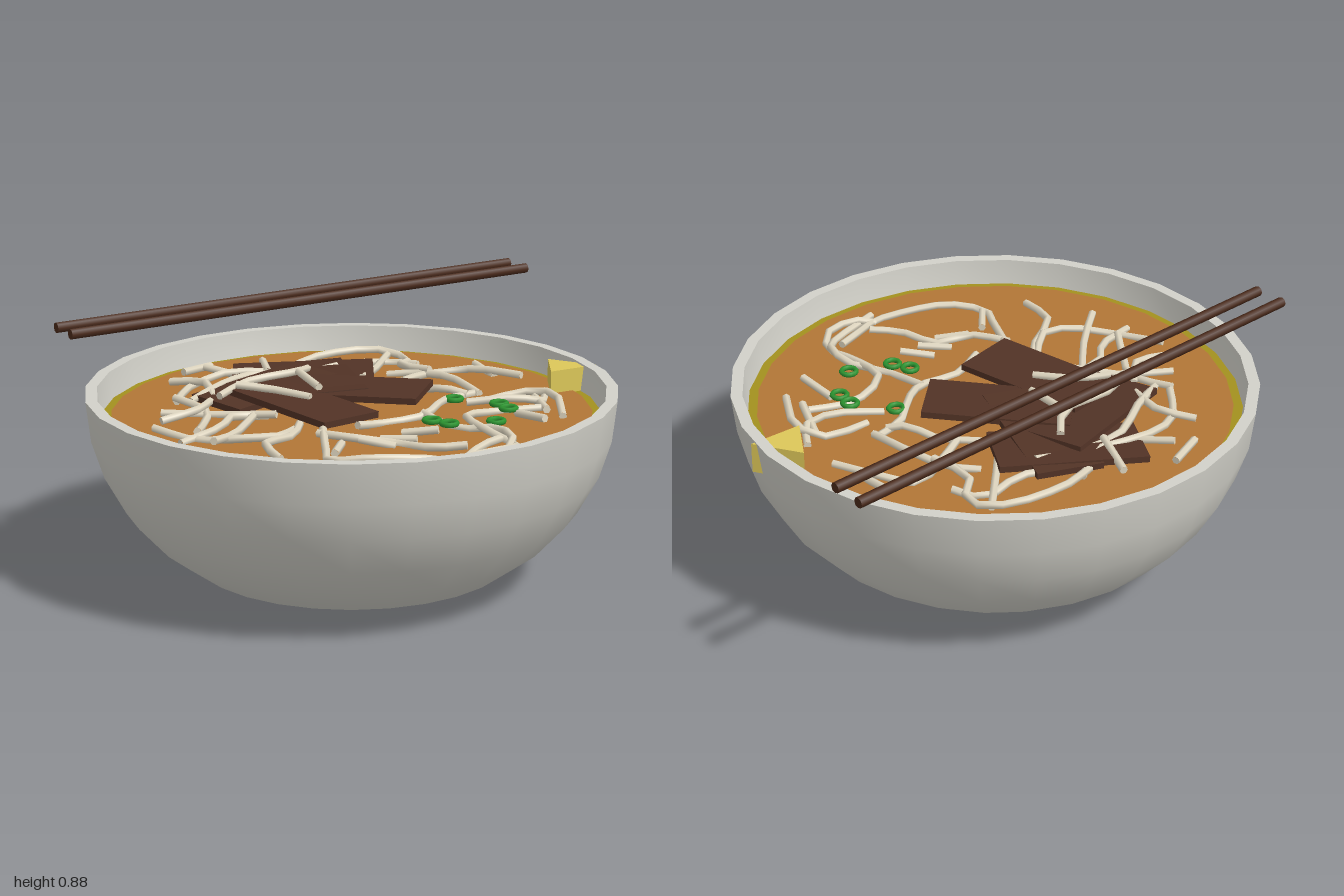
import * as THREE from 'three';

const mat = (name, color, side = THREE.FrontSide) => {
  const m = new THREE.MeshStandardMaterial({ color, side });
  m.name = name;
  return m;
};

export function createModel() {
  const M = {
    ceramic: mat('ceramic', 0xd2d1c9),
    broth: mat('broth', 0xb27636),
    oil: mat('oil', 0xa3911f),
    noodle: mat('noodle', 0xdfd6c0),
    meat: mat('meat', 0x523326),
    wood: mat('darkWood', 0x4a2a1b),
    lemon: mat('lemon', 0xdcc759),
    green: mat('scallionGreen', 0x2c9430),
  };
  const model = new THREE.Group();
  model.name = 'noodleSoup';
  const group = (name) => {
    const g = new THREE.Group();
    g.name = name;
    model.add(g);
    return g;
  };
  const add = (parent, name, geo, material, x = 0, y = 0, z = 0) => {
    const m = new THREE.Mesh(geo, material);
    m.name = name;
    m.position.set(x, y, z);
    parent.add(m);
    return m;
  };

  // Bowl, outer and inner walls with a flat rim between them
  const CX = -0.1, SEG = 28, TOP = 0.663;
  const outer = [[0, 0], [0.315, 0], [0.42, 0.016], [0.55, 0.064], [0.674, 0.155],
    [0.775, 0.267], [0.845, 0.396], [0.885, 0.524], [0.9, TOP]];
  const inner = [[0.86, TOP], [0.845, 0.54], [0.8, 0.4], [0.72, 0.27], [0.6, 0.15], [0.4, 0.06], [0, 0.04]];
  const lathe = (pts) => new THREE.LatheGeometry(pts.map((p) => new THREE.Vector2(...p)), SEG);
  const bowl = group('bowl');
  add(bowl, 'bowlOutside', lathe(outer), M.ceramic, CX);
  add(bowl, 'bowlInside', lathe(inner), M.ceramic, CX);
  add(bowl, 'bowlRim', lathe([[0.9, TOP], [0.86, TOP]]), M.ceramic, CX);

  // Broth with an oily edge
  const disc = (r) => new THREE.CircleGeometry(r, SEG).rotateX(-Math.PI / 2);
  const soup = group('soup');
  add(soup, 'oilEdge', disc(0.847), M.oil, CX, 0.572, 0);
  add(soup, 'brothSurface', disc(0.815), M.broth, CX, 0.578, 0);

  // Noodles: each is a tube through a few x, z points at a given height
  const noodles = group('noodles');
  let count = 0;
  const noodle = (pts, y = 0.592) => {
    const phase = ++count * 1.7;
    const path = pts.map(([x, z], i) => new THREE.Vector3(x, y + 0.012 * Math.sin(phase + i * 1.9), z));
    const curve = new THREE.CatmullRomCurve3(path, false, 'centripetal');
    const tube = new THREE.TubeGeometry(curve, Math.max(1, (pts.length - 1) * 2), 0.014, 6);
    add(noodles, 'noodle', tube, M.noodle);
    // closed ends
    for (const t of [0, 1]) {
      const cap = add(noodles, 'noodleEnd', new THREE.CircleGeometry(0.014, 6), M.noodle);
      const p = curve.getPoint(t);
      cap.position.copy(p);
      cap.lookAt(p.clone().addScaledVector(curve.getTangent(t), t ? 1 : -1));
    }
  };
  // front loops
  noodle([[-0.37, 0.19], [-0.48, 0.35], [-0.53, 0.43], [-0.45, 0.54], [-0.29, 0.64], [-0.21, 0.68], [-0.08, 0.64], [0.02, 0.62]]);
  noodle([[-0.22, 0.71], [0, 0.68], [0.07, 0.62], [0.09, 0.5], [0.03, 0.4], [0.03, 0.22]]);
  noodle([[-0.2, 0.67], [-0.14, 0.71], [-0.01, 0.72], [0.05, 0.66], [0.06, 0.52], [0.1, 0.36], [0.25, 0.33], [0.4, 0.4]]);
  noodle([[-0.4, 0.2], [-0.34, 0.33], [-0.24, 0.4], [-0.2, 0.54], [-0.12, 0.62]]);
  noodle([[-0.25, 0.22], [-0.13, 0.2], [0.02, 0.23], [0.14, 0.18], [0.24, 0.12], [0.36, 0.11]]);
  // right side
  noodle([[0.14, -0.18], [0.24, -0.04], [0.27, 0.06], [0.31, 0.12]]);
  noodle([[0.36, 0.13], [0.38, -0.05], [0.35, -0.2], [0.28, -0.28]]);
  noodle([[0.22, -0.12], [0.34, -0.16], [0.48, -0.18], [0.54, -0.1], [0.6, 0.08]]);
  noodle([[0.59, -0.16], [0.57, -0.03]]);
  noodle([[0.32, 0.2], [0.49, 0.23], [0.52, 0.33], [0.39, 0.52]]);
  noodle([[0.24, 0.2], [0.38, 0.3], [0.46, 0.34], [0.56, 0.24]]);
  noodle([[0.28, 0.55], [0.29, 0.4]]);
  noodle([[0.39, 0.44], [0.49, 0.27]]);
  // back
  noodle([[0.02, -0.54], [0.2, -0.57], [0.42, -0.5], [0.46, -0.38], [0.36, -0.3], [0.37, -0.15]], 0.6);
  noodle([[0.1, -0.5], [0.25, -0.42], [0.4, -0.4], [0.44, -0.3]]);
  noodle([[0.12, -0.22], [0.26, -0.33], [0.44, -0.47]], 0.6);
  noodle([[-0.53, -0.42], [-0.38, -0.55], [-0.2, -0.57], [-0.05, -0.5], [0.1, -0.56]], 0.6);
  noodle([[-0.5, -0.38], [-0.35, -0.43], [-0.15, -0.5], [0, -0.45], [0.15, -0.4]], 0.605);
  noodle([[-0.31, -0.7], [-0.17, -0.73]]);
  noodle([[-0.24, -0.67], [-0.18, -0.55]], 0.61);
  noodle([[0, -0.65], [-0.1, -0.48]], 0.615);
  noodle([[-0.42, -0.62], [-0.36, -0.5], [-0.42, -0.36]], 0.605);
  // left side
  noodle([[-0.53, -0.43], [-0.51, -0.27], [-0.6, -0.16], [-0.7, -0.05]]);
  noodle([[-0.77, -0.2], [-0.72, -0.03], [-0.62, 0.1], [-0.53, 0.15], [-0.4, 0.07]]);
  noodle([[-0.78, -0.03], [-0.6, -0.06], [-0.5, -0.13], [-0.38, -0.1]]);
  noodle([[-0.66, 0.35], [-0.61, 0.2], [-0.45, 0.13], [-0.35, 0.04]]);
  noodle([[-0.74, 0.1], [-0.6, 0.02], [-0.42, -0.12]], 0.6);
  noodle([[-0.64, -0.35], [-0.5, -0.22], [-0.38, -0.05]]);
  noodle([[-0.7, -0.26], [-0.57, -0.24], [-0.46, -0.32]], 0.6);
  noodle([[-0.5, 0.42], [-0.41, 0.34]]);
  for (let i = 0; i < 3; i++) noodle([[-0.34 + i * 0.09, 0.34], [-0.26 + i * 0.09, 0.43]]);
  // strands lying on the meat
  noodle([[-0.38, -0.28], [-0.3, -0.2], [-0.23, -0.06]], 0.645);
  noodle([[-0.1, -0.3], [-0.14, -0.13]], 0.65);
  noodle([[-0.45, -0.28], [-0.3, -0.33], [-0.1, -0.31], [0, -0.38]], 0.64);

  // Meat slices: x, y, z, turn, tilt
  const meat = group('meatSlices');
  const slices = [
    [-0.26, 0.618, -0.06, 1.61, 0.02],
    [-0.02, 0.62, -0.09, -0.95, 0.03],
    [0, 0.61, -0.3, 1.1, -0.04],
    [-0.21, 0.606, -0.33, 0.15, 0.04],
    [0.01, 0.602, -0.42, -0.65, 0.03],
  ];
  for (const [x, y, z, turn, tilt] of slices) {
    const s = add(meat, 'meatSlice', new THREE.BoxGeometry(0.5, 0.022, 0.235), M.meat, x, y, z);
    s.rotation.set(tilt, turn, tilt, 'YXZ');
  }

  // Scallion rings
  const rings = group('scallions');
  for (const [x, z] of [[0.21, 0.17], [-0.02, 0.325], [0, 0.39], [0.29, 0.31], [0.275, 0.375], [0.14, 0.465]]) {
    add(rings, 'scallionRing', new THREE.TorusGeometry(0.026, 0.009, 6, 12).rotateX(Math.PI / 2), M.green, x, 0.602, z);
  }

  // Lemon wedge, a triangular prism poking into the bowl wall
  const tri = new THREE.Shape([[0.68, -0.13], [0.57, -0.265], [0.757, -0.297]].map((p) => new THREE.Vector2(...p)));
  const wedge = new THREE.ExtrudeGeometry(tri, { depth: 0.107, bevelEnabled: false }).rotateX(-Math.PI / 2);
  add(model, 'lemonWedge', wedge, M.lemon, 0, 0.55, 0);

  // Chopsticks
  const sticks = group('chopsticks');
  for (const [x0, z0, x1, z1] of [[-0.872, -0.622, 0.997, -0.437], [-0.883, -0.515, 0.985, -0.328]]) {
    const geo = new THREE.CylinderGeometry(0.018, 0.018, Math.hypot(x1 - x0, z1 - z0), 8).rotateZ(Math.PI / 2);
    const s = add(sticks, 'chopstick', geo, M.wood, (x0 + x1) / 2, 0.865, (z0 + z1) / 2);
    s.rotation.y = -Math.atan2(z1 - z0, x1 - x0);
  }
  return model;
}
